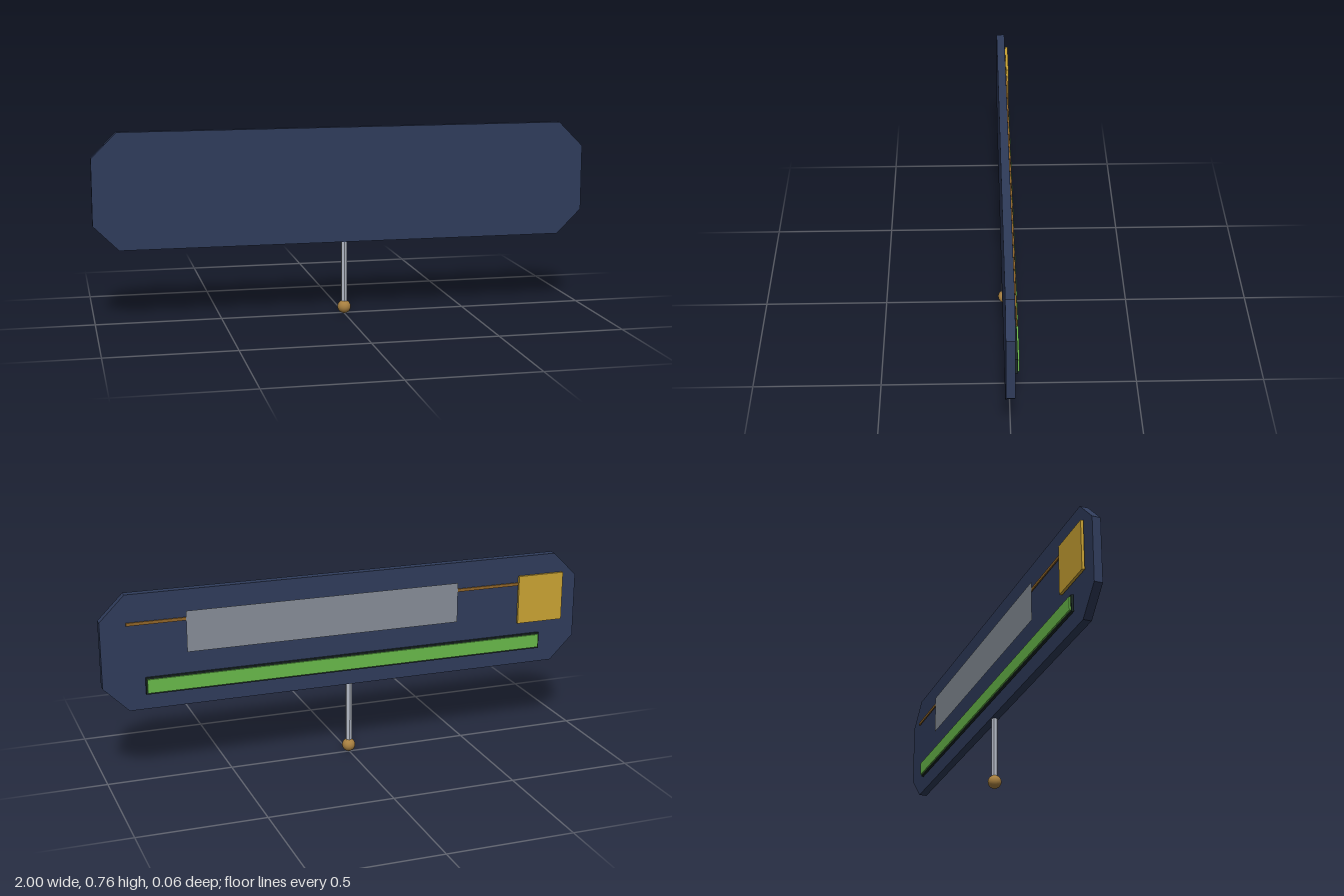
import * as THREE from 'three';

export function createModel() {
  const model = new THREE.Group();

  const add = (name, geometry, color, x, y, z, extra = {}) => {
    const mesh = new THREE.Mesh(geometry, new THREE.MeshStandardMaterial({ color, ...extra }));
    mesh.name = name;
    mesh.position.set(x, y, z);
    model.add(mesh);
    return mesh;
  };
  const box = (w, h, d) => new THREE.BoxGeometry(w, h, d);

  // Main board with chamfered corners
  const w = 1, h = 0.232, c = 0.1;
  const outline = new THREE.Shape([
    [-w + c, -h], [w - c, -h], [w, -h + c], [w, h - c],
    [w - c, h], [-w + c, h], [-w, h - c], [-w, -h + c],
  ].map(([x, y]) => new THREE.Vector2(x, y)));
  add('board', new THREE.ExtrudeGeometry(outline, { depth: 0.033, bevelEnabled: false }),
    0x2f3b5a, 0, 0.529, -0.01);

  // Hexagonal post and ball foot
  add('post', new THREE.CylinderGeometry(0.013, 0.013, 0.28, 6), 0xb4bac6, 0, 0.18, 0.007, { flatShading: true });
  add('ballFoot', new THREE.SphereGeometry(0.027, 24, 16), 0xa88040, 0, 0.027, 0.007);

  // Light strip and its tray on the back
  add('stripTray', box(1.67, 0.068, 0.009), 0x1c2a26, 0, 0.394, -0.0195);
  add('lightStrip', box(1.66, 0.055, 0.008), 0x68b84a, 0, 0.394, -0.026);

  // Cross rod, thin sheet and square plate on the back
  add('crossRod', box(1.8, 0.012, 0.005), 0x8f6428, 0, 0.646, -0.0165);
  add('backSheet', new THREE.PlaneGeometry(1.13, 0.165), 0x858c96, 0.103, 0.595, -0.0195,
    { side: THREE.DoubleSide });
  add('squarePlate', box(0.2, 0.202, 0.011), 0xc9a233, -0.835, 0.579, -0.0195);

  return model;
}
